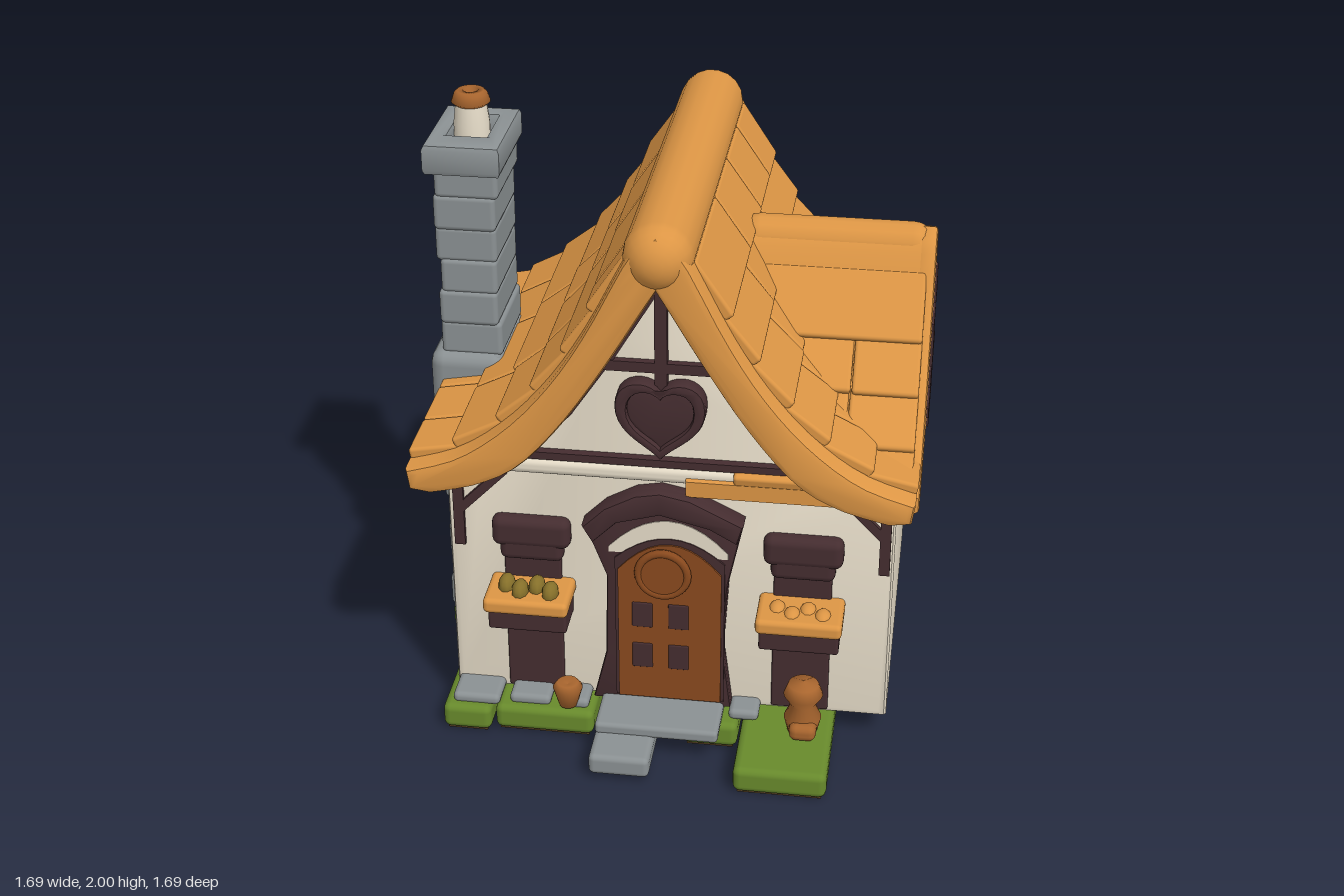
import * as THREE from 'three';
import { toCreasedNormals } from 'three/addons/utils/BufferGeometryUtils.js';
import { RoundedBoxGeometry } from 'three/addons/geometries/RoundedBoxGeometry.js';

const mat = (name, color) => Object.assign(new THREE.MeshStandardMaterial({ color }), { name });
const M = {
  roof: mat('roofOrange', 0xdd9645), wall: mat('plasterCream', 0xe9dfcb), timber: mat('darkTimber', 0x452d30),
  stone: mat('greyStone', 0x8b9193), grass: mat('grassGreen', 0x688a2c), door: mat('doorBrown', 0x8a4a1e),
  clay: mat('clayBrown', 0xa8652e), leaf: mat('oliveLeaf', 0x86702a), soil: mat('soilBrown', 0x5a4426),
};
const V = (p) => new THREE.Vector2(p[0], p[1]);
let seed = 7;
const rnd = () => (seed = (seed * 16807) % 2147483647) / 2147483647;
const CX = 0.02; // centre line of the main gable

export function createModel() {
  const root = new THREE.Group();
  root.name = 'cottage';

  const add = (name, geo, m, parent = root) => {
    const mesh = new THREE.Mesh(geo, m);
    mesh.name = name;
    parent.add(mesh);
    return mesh;
  };
  // Rounded block given by its extents
  const block = (name, m, x0, x1, y0, y1, z0, z1, r = 0.015, parent = root) => {
    const [w, h, d] = [x1 - x0, y1 - y0, z1 - z0];
    const mesh = add(name, new RoundedBoxGeometry(w, h, d, 2, Math.min(r, w / 2.1, h / 2.1, d / 2.1)), m, parent);
    mesh.position.set((x0 + x1) / 2, (y0 + y1) / 2, (z0 + z1) / 2);
    return mesh;
  };
  // Straight beam between two points of an upright plane
  const beam = (name, a, b, w, z, depth, parent = root) => {
    const mesh = add(name, new THREE.BoxGeometry(Math.hypot(b[0] - a[0], b[1] - a[1]) + w * 0.4, w, depth), M.timber, parent);
    mesh.position.set((a[0] + b[0]) / 2, (a[1] + b[1]) / 2, z);
    mesh.rotation.z = Math.atan2(b[1] - a[1], b[0] - a[0]);
    return mesh;
  };
  // Outline extruded from z0 to z1 with rounded rims
  const slab = (name, m, shape, z0, z1, bevel = 0, parent = root) => {
    const g = new THREE.ExtrudeGeometry(shape, {
      depth: z1 - z0 - 2 * bevel, bevelEnabled: bevel > 0, bevelSize: bevel, bevelThickness: bevel,
      bevelOffset: -bevel, bevelSegments: 2, curveSegments: 10,
    });
    const mesh = add(name, toCreasedNormals(g, 0.7), m, parent);
    mesh.position.z = z0 + bevel;
    return mesh;
  };
  const poly = (pts) => new THREE.Shape(pts.map(V));
  const smooth = (pts, n) => new THREE.SplineCurve(pts.map(V)).getPoints(n).map((p) => [p.x, p.y]);
  const mirrored = (pts, c) => [...pts].reverse().map(([x, y]) => [2 * c - x, y]);

  // Uneven rows of shingles down both slopes of a roof curve
  const shingles = (name, curve, c, rows, z0, z1, parent) => {
    const P = new THREE.SplineCurve(curve.map(V)).getSpacedPoints(rows);
    for (const s of [1, -1]) for (let i = 1; i < rows; i++) {
      const a = P[i], b = P[i + 1], ang = Math.atan2(b.y - a.y, b.x - a.x);
      for (let z = z0; z < z1 - 0.02;) {
        let e = Math.min(z1, z + 0.22 + rnd() * 0.3);
        if (z1 - e < 0.12) e = z1;
        const len = a.distanceTo(b) + (i < rows - 1 ? 0.02 + rnd() * 0.03 : 0);
        const tilt = ang + 0.1 + rnd() * 0.06;
        const mesh = add(name, new RoundedBoxGeometry(len, 0.04, e - z - 0.004, 2, 0.012), M.roof, parent);
        mesh.position.set(c + s * ((a.x + b.x) / 2 - c), (a.y + b.y) / 2, (z + e) / 2);
        mesh.rotation.z = s * tilt;
        z = e;
      }
    }
  };

  // Walls with curved gables
  const rise = [[0.62, 1.0], [0.48, 1.08], [0.34, 1.24], [0.2, 1.46]];
  slab('walls', M.wall, poly([[-0.69, 0.09], [0.77, 0.09], [0.77, 0.95], ...rise, [CX, 1.74],
    ...mirrored(rise, CX), [-0.69, 0.95]]), -0.71, 0.475, 0.025);

  // Main roof: sweeping band, ridge roll and shingles
  const outer = [[CX, 1.86], [0.1, 1.8], [0.24, 1.53], [0.36, 1.34], [0.5, 1.18], [0.66, 1.06], [0.83, 1.0]];
  const inner = [[0.75, 0.92], [0.6, 0.96], [0.46, 1.04], [0.32, 1.2], [0.18, 1.41], [CX, 1.68]];
  const half = [...smooth(outer, 20).slice(1), [0.82, 0.93], ...smooth(inner, 16)];
  const o = smooth(outer, 20), n = smooth(inner, 16);
  slab('roof', M.roof, poly([...o, [0.82, 0.93], ...n, ...mirrored(n, CX).slice(1),
    [2 * CX - 0.82, 0.93], ...mirrored(o, CX).slice(0, -1)]), -0.83, 0.61, 0.02);
  shingles('shingle', outer, CX, 7, -0.79, 0.53, root);
  const ridge = add('ridgeRoll', new THREE.CapsuleGeometry(0.11, 1.28, 6, 18), M.roof);
  ridge.rotation.x = Math.PI / 2;
  ridge.scale.set(1, 1, 1);
  ridge.position.set(CX, 1.772, -0.11);

  // Side dormer, made facing +z and turned to face +x
  const dormer = new THREE.Group();
  dormer.name = 'dormer';
  dormer.rotation.y = Math.PI / 2;
  dormer.position.z = -0.15;
  root.add(dormer);
  const dCurve = [[0, 1.61], [0.07, 1.57], [0.16, 1.42], [0.28, 1.25], [0.42, 1.11], [0.56, 1.02], [0.67, 0.98]];
  const d = smooth(dCurve, 20);
  const dOutline = () => poly([...d, [0.67, 0.925], [-0.67, 0.925], ...mirrored(d, 0).slice(0, -1)]);
  slab('dormerRoof', M.roof, dOutline(), 0.1, 0.79, 0, dormer);
  const rim = dOutline();
  rim.holes.push(new THREE.Path([[-0.27, 1.06], [-0.13, 1.06], [-0.13, 0.95], [0.13, 0.95], [0.13, 1.06],
    [0.27, 1.06], [0.13, 1.2], [0.04, 1.38], [-0.04, 1.38], [-0.13, 1.2]].map(V)));
  slab('dormerRim', M.roof, rim, 0.78, 0.84, 0.012, dormer);
  shingles('dormerShingle', dCurve, 0, 5, 0.25, 0.815, dormer);
  const dRoll = add('dormerRidge', new THREE.CapsuleGeometry(0.075, 0.5, 5, 14), M.roof, dormer);
  dRoll.rotation.x = Math.PI / 2;
  dRoll.position.set(0, 1.545, 0.51);
  slab('dormerPlaster', M.wall, poly([[-0.27, 1.05], [0.27, 1.05], [0.13, 1.21], [0.05, 1.39], [-0.05, 1.39], [-0.13, 1.21]]),
    0.785, 0.81, 0, dormer);
  for (const [a, b, w] of [[[0, 0.94], [0, 1.47], 0.03], [[-0.17, 1.33], [0.15, 1.33], 0.025], [[-0.28, 1.075], [0.27, 1.075], 0.035],
    [[-0.12, 0.95], [-0.13, 1.15], 0.03], [[0.12, 0.95], [0.13, 1.15], 0.03], [[-0.13, 0.95], [0.13, 0.95], 0.02]])
    beam('dormerTimber', a, b, w, 0.822, 0.05, dormer);

  // Gable timbers, front and back
  for (const z of [0.48, -0.715]) {
    beam('gableBeam', [-0.44, 1.03], [0.49, 1.03], 0.026, z, 0.05);
    beam('gableCollar', [-0.2, 1.37], [0.24, 1.37], 0.035, z, 0.04);
    beam('gablePost', [CX, z > 0 ? 1.3 : 1.03], [CX, 1.68], 0.04, z, 0.04);
    for (const s of [1, -1]) for (let i = 2; i < inner.length - 1; i++) {
      const at = ([x, y]) => [CX + s * (x - CX), y - 0.005];
      beam('gableEdge', at(inner[i]), at(inner[i + 1]), 0.035, z, 0.03);
    }
  }
  block('gableLip', M.wall, -0.6, 0.64, 0.955, 1.015, 0.44, 0.505, 0.025);

  // Heart shutter
  const heart = (k) => {
    const s = new THREE.Shape();
    s.moveTo(0, -0.14 * k);
    s.bezierCurveTo(0.04 * k, -0.09 * k, 0.14 * k, -0.06 * k, 0.14 * k, 0.04 * k);
    s.bezierCurveTo(0.14 * k, 0.14 * k, 0.03 * k, 0.14 * k, 0, 0.09 * k);
    s.bezierCurveTo(-0.03 * k, 0.14 * k, -0.14 * k, 0.14 * k, -0.14 * k, 0.04 * k);
    s.bezierCurveTo(-0.14 * k, -0.06 * k, -0.04 * k, -0.09 * k, 0, -0.14 * k);
    return s;
  };
  const rimHeart = heart(1.03);
  rimHeart.holes.push(new THREE.Path(heart(0.76).getPoints(8)));
  slab('heartRim', M.timber, rimHeart, 0.46, 0.53, 0.01).position.add(new THREE.Vector3(CX, 1.2, 0));
  slab('heartPanel', M.timber, heart(0.8), 0.46, 0.51, 0.01).position.add(new THREE.Vector3(CX, 1.2, 0));

  // Corner braces under the front eaves
  for (const s of [1, -1]) {
    const x = (v) => (s > 0 ? v : 0.09 - v);
    beam('cornerPost', [x(0.74), 0.67], [x(0.74), 0.95], 0.035, 0.475, 0.03);
    beam('cornerBrace', [x(0.735), 0.8], [x(0.59), 0.95], 0.03, 0.475, 0.03);
  }

  // Door with its bowed frame
  const frame = poly([[-0.21, 0.11], [-0.165, 0.3], [-0.16, 0.6], [-0.235, 0.8], [-0.16, 0.875], [-0.06, 0.93], [0.02, 0.945],
    [0.12, 0.925], [0.2, 0.885], [0.29, 0.84], [0.24, 0.6], [0.225, 0.35], [0.255, 0.11]].reverse());
  slab('doorFrame', M.timber, frame, 0.46, 0.52, 0.012);
  const arch = (x0, x1, y0, ySide, yTop) => {
    const s = new THREE.Shape([[x0, y0], [x1, y0], [x1, ySide]].map(V));
    s.quadraticCurveTo((x0 + x1) / 2, 2 * yTop - ySide, x0, ySide);
    return s;
  };
  slab('doorLintelPlaster', M.wall, arch(-0.15, 0.24, 0.7, 0.72, 0.83), 0.5, 0.523);
  slab('doorArch', M.timber, arch(-0.13, 0.23, 0.14, 0.68, 0.765), 0.5, 0.527);
  slab('door', M.door, arch(-0.12, 0.22, 0.14, 0.64, 0.745), 0.5, 0.533);
  slab('lintelHood', M.timber, poly([[-0.235, 0.8], [-0.16, 0.875], [-0.06, 0.93], [0.02, 0.945], [0.12, 0.925], [0.2, 0.885],
    [0.29, 0.84], [0.27, 0.77], [0.18, 0.82], [0.02, 0.86], [-0.12, 0.82], [-0.2, 0.74]].reverse()), 0.46, 0.55, 0.015);
  for (const x of [-0.04, 0.08]) for (const y of [0.31, 0.47])
    block('doorPanel', M.timber, x - 0.034, x + 0.034, y - 0.048, y + 0.048, 0.525, 0.537, 0.005);
  const disc = add('doorRoundPanel', new THREE.CylinderGeometry(0.075, 0.085, 0.03, 24), M.door);
  disc.rotation.x = Math.PI / 2;
  disc.position.set(0.03, 0.64, 0.54);
  add('doorRing', new THREE.TorusGeometry(0.08, 0.014, 8, 28), M.door).position.set(0.03, 0.64, 0.545);

  // Front windows: shutter head, tall panel, flower box
  for (const x of [-0.41, 0.48]) {
    block('windowPanel', M.timber, x - 0.095, x + 0.095, 0.11, 0.7, 0.46, 0.487, 0.008);
    block('windowHead', M.timber, x - 0.13, x + 0.13, 0.68, 0.79, 0.45, 0.52, 0.03);
    block('windowHeadLower', M.timber, x - 0.105, x + 0.105, 0.63, 0.72, 0.45, 0.515, 0.025);
    block('flowerBox', M.timber, x - 0.13, x + 0.13, 0.42, 0.51, 0.46, 0.61, 0.01);
    block('flowerBoxRim', M.roof, x - 0.14, x + 0.14, 0.5, 0.555, 0.46, 0.645, 0.018);
    for (let i = 0; i < 4; i++) {
      const leaf = add('boxPlant', new THREE.SphereGeometry(0.035, 10, 8), x < 0 ? M.leaf : M.roof);
      leaf.position.set(x - 0.075 + i * 0.05, x < 0 ? 0.56 : 0.545, 0.55 + (i % 2) * 0.03);
      leaf.scale.set(0.8, x < 0 ? 1.1 : 0.7, 1.2);
    }
  }

  // Back windows: paired posts and shutters
  for (const [a, b] of [[0.29, 0.59], [-0.14, 0.16], [-0.47, -0.18]]) {
    for (const t of [0.03, 0.3, 0.7, 0.97]) {
      const x = a + (b - a) * t;
      beam('backPost', [x, 0.16 + 0.1 * rnd()], [x, 0.84 + 0.06 * rnd()], 0.035, -0.715, 0.04);
    }
    block('backShutter', M.timber, a + 0.02, b - 0.02, 0.5, 0.81, -0.728, -0.69, 0.008);
    beam('backSill', [a + 0.02, 0.44], [b - 0.02, 0.44], 0.03, -0.718, 0.04);
    block('backStone', M.stone, a + 0.0, a + 0.07, 0.12, 0.21, -0.716, -0.68, 0.015);
  }

  // Chimney of rough stone courses
  for (let i = 0; i < 15; i++) {
    const y = 0.09 + i * 0.114, j = () => (rnd() - 0.5) * 0.016, low = y < 0.8 ? 0.012 : 0;
    block('chimneyCourse', M.stone, -0.797 - low + j(), -0.592 + j(), y, y + 0.125, -0.315 + j(), 0.02 + j(), 0.018);
  }
  block('chimneyShoulder', M.stone, -0.84, -0.58, 0.83, 1.13, -0.345, 0.05, 0.05);
  const cap = poly([[-0.825, -0.04], [-0.57, -0.04], [-0.57, 0.33], [-0.825, 0.33]]);
  cap.holes.push(new THREE.Path([[-0.76, 0.07], [-0.76, 0.26], [-0.635, 0.26], [-0.635, 0.07]].map(V)));
  const capMesh = slab('chimneyCap', M.stone, cap, 0, 0.11, 0.02);
  capMesh.rotation.x = -Math.PI / 2;
  capMesh.position.set(0, 1.79, 0);
  const lathe = (name, m, pts, x, y, z) => add(name, new THREE.LatheGeometry(pts.map(V), 20), m).position.set(x, y, z);
  lathe('chimneyPot', M.wall, [[0.06, 0], [0.06, 0.09], [0.05, 0.17]], -0.7, 1.8, -0.16);
  lathe('chimneyPotRim', M.clay, [[0.05, 0], [0.065, 0.012], [0.055, 0.04], [0.045, 0.05], [0.025, 0.05], [0.022, 0.01], [0, 0.01]], -0.7, 1.95, -0.16);

  // Grass strips with soil undersides
  for (const [x0, x1, z0, z1] of [[-0.71, -0.545, -0.7, 0.62], [-0.535, -0.2, -0.72, 0.6], [-0.19, 0.09, -0.71, 0.52],
    [0.1, 0.285, -0.72, 0.6], [0.295, 0.6, -0.72, 0.83], [-0.81, -0.59, -0.32, 0.03]]) {
    block('grassStrip', M.grass, x0, x1, 0.006, 0.098, z0, z1, 0.025);
    block('soilUnderside', M.soil, x0 + 0.015, x1 - 0.015, 0, 0.009, z0 + 0.015, z1 - 0.015, 0.002);
  }

  // Door steps and loose stones
  block('doorStep', M.stone, -0.18, 0.23, 0.085, 0.13, 0.45, 0.69, 0.015);
  block('lowerStep', M.stone, -0.18, 0.02, 0.02, 0.095, 0.5, 0.82, 0.02);
  for (const [x, w, z] of [[-0.6, 0.16, 0.52], [-0.42, 0.14, 0.5], [-0.27, 0.1, 0.5], [0.3, 0.1, 0.49]])
    block('pathStone', M.stone, x - w / 2, x + w / 2, 0.09, 0.13, z - 0.07, z + 0.07, 0.018);
  for (let i = 0; i < 7; i++)
    block('footingStone', M.wall, -0.68 + i * 0.2, -0.52 + i * 0.2, 0.09, 0.14 + rnd() * 0.04, -0.722, -0.66, 0.02);

  // Clay pots by the windows
  lathe('clayJar', M.clay, [[0, 0], [0.05, 0], [0.062, 0.05], [0.04, 0.1], [0.065, 0.14], [0.05, 0.18], [0, 0.19]], 0.5, 0.1, 0.58);
  block('clayFoot', M.clay, 0.46, 0.55, 0.1, 0.16, 0.55, 0.665, 0.025);
  lathe('smallPot', M.clay, [[0, 0], [0.03, 0], [0.05, 0.07], [0.035, 0.09], [0, 0.08]], -0.29, 0.105, 0.56);
  return root;
}
